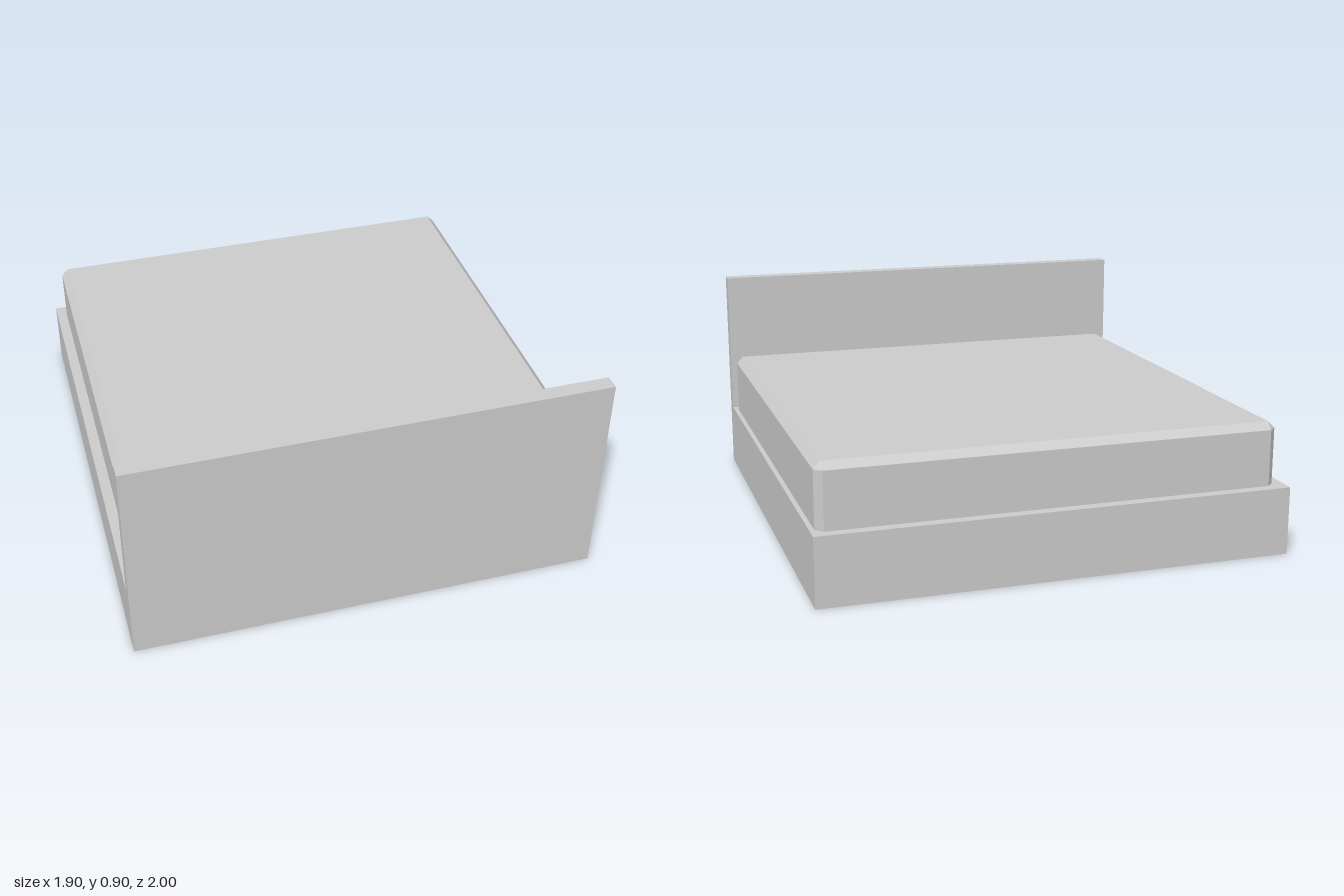
import * as THREE from 'three';
import { ConvexGeometry } from 'three/addons/geometries/ConvexGeometry.js';

const material = new THREE.MeshStandardMaterial({ color: 0xcccccc, flatShading: true });

const WIDTH = 1.9;
const BASE_TOP = 0.276;

// Box with every upright and top edge cut by a flat chamfer; flat underside
function chamferedBlock(width, height, depth, c) {
  const x = width / 2, z = depth / 2;
  const points = [];
  for (const sx of [-1, 1]) {
    for (const sz of [-1, 1]) {
      const add = (px, py, pz) => points.push(new THREE.Vector3(sx * px, py, sz * pz));
      add(x - c, height, z - c);
      for (const y of [0, height - c]) {
        add(x, y, z - c);
        add(x - c, y, z);
      }
    }
  }
  return new ConvexGeometry(points);
}

export function createModel() {
  const group = new THREE.Group();
  group.name = 'bed';

  // Base and headboard: one L-shaped side profile (z, y) extruded across the width
  const profile = new THREE.Shape([
    [-1, 0], [1, 0], [1, 0.898], [0.938, 0.898], [0.938, BASE_TOP], [-1, BASE_TOP],
  ].map(([z, y]) => new THREE.Vector2(-z, y)));
  const frameGeometry = new THREE.ExtrudeGeometry(profile, { depth: WIDTH, bevelEnabled: false });
  frameGeometry.translate(0, 0, -WIDTH / 2).rotateY(Math.PI / 2);
  const frame = new THREE.Mesh(frameGeometry, material);
  frame.name = 'baseAndHeadboard';
  group.add(frame);

  // Mattress, resting slightly off-centre on the base
  const mattress = new THREE.Mesh(chamferedBlock(1.838, 0.257, 1.864, 0.029), material);
  mattress.name = 'mattress';
  mattress.position.set(0.012, BASE_TOP, -0.025);
  group.add(mattress);

  return group;
}
